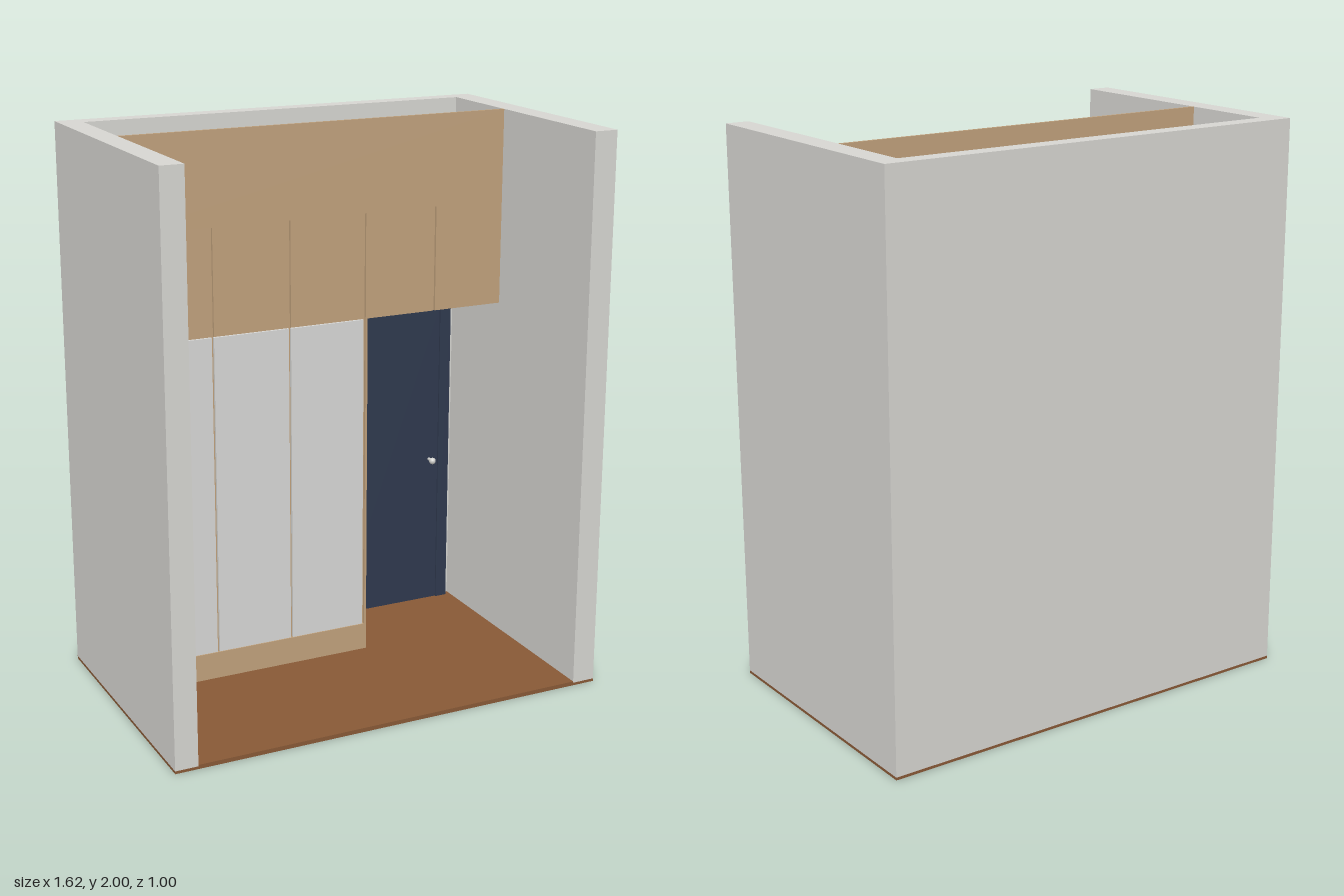
import * as THREE from 'three';

const mat = (name, color) => {
  const m = new THREE.MeshStandardMaterial({ color });
  m.name = name;
  return m;
};

export function createModel() {
  const wall = mat('wallGrey', 0xd6d5d1);
  const white = mat('doorWhite', 0xd7d7d5);
  const oak = mat('oak', 0xc0a17c);
  const brown = mat('floorBrown', 0x885936);
  const navy = mat('navy', 0x2f394e);
  const metal = mat('knobMetal', 0xd0d0cc);

  const model = new THREE.Group();
  model.name = 'entranceHall';

  // Box given by its limits on each axis
  const box = (name, material, x0, x1, y0, y1, z0, z1, parent = model) => {
    const mesh = new THREE.Mesh(new THREE.BoxGeometry(x1 - x0, y1 - y0, z1 - z0), material);
    mesh.position.set((x0 + x1) / 2, (y0 + y1) / 2, (z0 + z1) / 2);
    mesh.name = name;
    parent.add(mesh);
    return mesh;
  };

  const L = -0.728, R = 0.725, BACK = -0.435, FRONT = -0.087, PANEL = -0.097;

  // Floor slab and raised floor covering
  box('floorSlab', brown, -0.81, 0.81, 0, 0.01, -0.5, 0.5);
  box('floorCovering', brown, L, R, 0.01, 0.015, BACK, 0.5);

  // U-shaped room shell
  const shell = new THREE.Shape([
    [-0.81, -0.5], [L, -0.5], [L, -BACK], [R, -BACK],
    [R, -0.5], [0.81, -0.5], [0.81, 0.5], [-0.81, 0.5],
  ].map(([x, y]) => new THREE.Vector2(x, y)));
  const walls = new THREE.Mesh(new THREE.ExtrudeGeometry(shell, { depth: 1.99, bevelEnabled: false }), wall);
  walls.rotation.x = -Math.PI / 2;
  walls.position.y = 0.01;
  walls.name = 'walls';
  model.add(walls);

  // Wardrobe carcass, cupboards above and the fascia up to the top
  const wardrobe = new THREE.Group();
  wardrobe.name = 'wardrobe';
  model.add(wardrobe);
  box('carcass', oak, -0.704, 0.184, 0.015, 1.29, BACK, PANEL, wardrobe);
  box('upperCarcass', oak, -0.704, R, 1.29, 1.67, BACK, PANEL, wardrobe);
  box('fascia', oak, L, R, 1.67, 2, PANEL, FRONT, wardrobe);
  box('sideFiller', oak, L, -0.704, 0.015, 1.67, PANEL, FRONT, wardrobe);
  box('plinth', oak, -0.704, 0.184, 0.015, 0.115, PANEL, FRONT, wardrobe);
  box('endPanelEdge', oak, 0.176, 0.184, 0.115, 1.29, PANEL, FRONT, wardrobe);

  // Cupboard fronts with narrow gaps between them
  const seams = [-0.704, -0.41, -0.12, 0.172, 0.452, R];
  const gap = 0.004;
  for (let i = 0; i < seams.length - 1; i++) {
    const x0 = seams[i] + (i ? gap : 0);
    const x1 = seams[i + 1] - (i < 4 ? gap : 0);
    box('upperDoor', oak, x0, x1, 1.29, 1.67, PANEL, FRONT, wardrobe);
    if (i < 3) box('wardrobeDoor', white, x0, x1, 0.117, 1.287, PANEL, FRONT, wardrobe);
  }

  // Entrance door in the recess: frame, leaf and knob
  const door = new THREE.Group();
  door.name = 'entranceDoor';
  model.add(door);
  box('frameLeft', navy, 0.19, 0.234, 0.015, 1.25, BACK, -0.41, door);
  box('frameRight', navy, 0.66, 0.705, 0.015, 1.25, BACK, -0.41, door);
  box('frameTop', navy, 0.234, 0.66, 1.208, 1.25, BACK, -0.41, door);
  box('leaf', navy, 0.234, 0.66, 0.015, 1.208, BACK, -0.416, door);
  const stem = new THREE.Mesh(new THREE.CylinderGeometry(0.006, 0.006, 0.03, 12), metal);
  stem.rotation.x = Math.PI / 2;
  stem.position.set(0.622, 0.6, -0.403);
  stem.name = 'knobStem';
  const knob = new THREE.Mesh(new THREE.SphereGeometry(0.013, 16, 12), metal);
  knob.position.set(0.622, 0.6, -0.385);
  knob.name = 'knob';
  door.add(stem, knob);

  return model;
}
